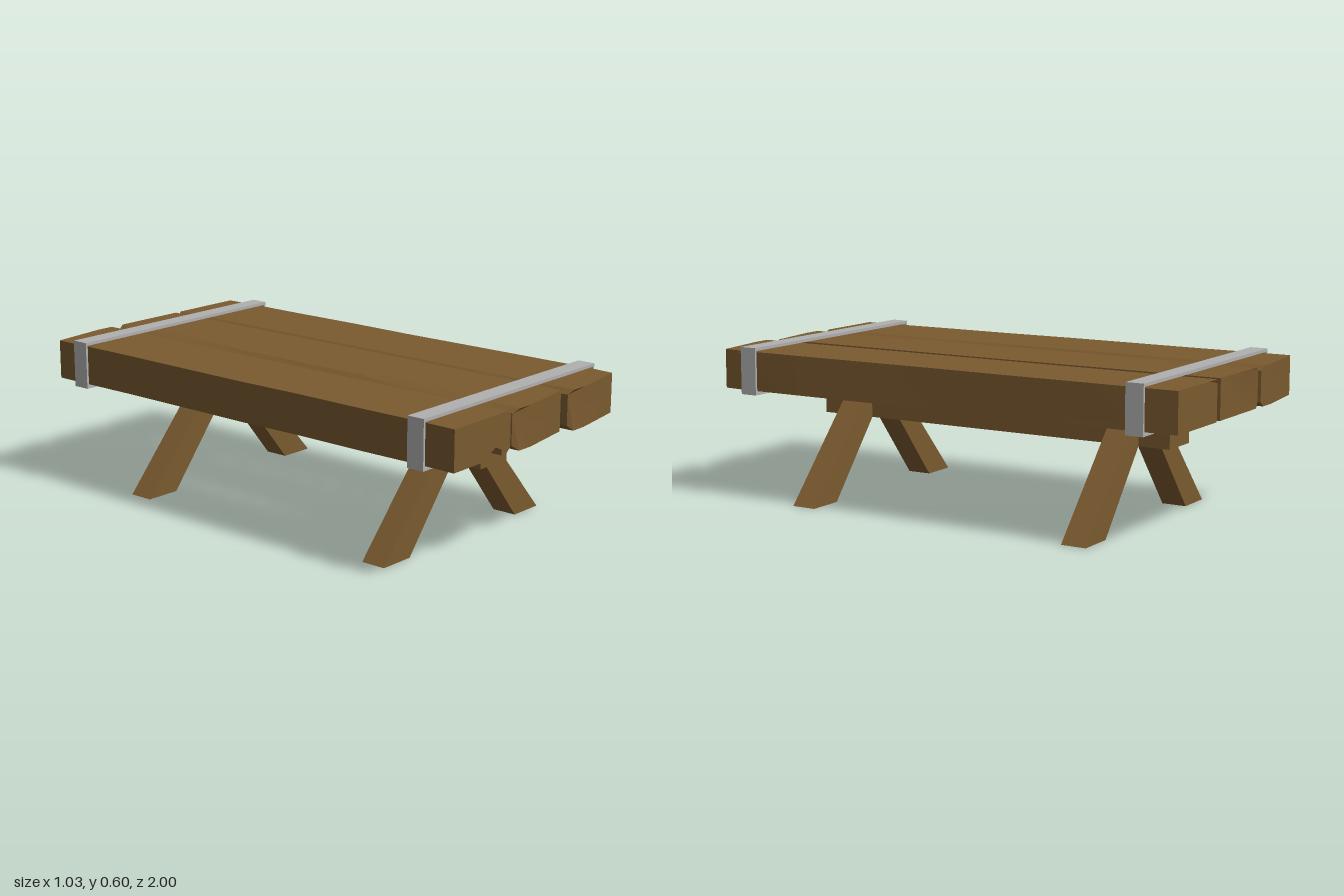
import * as THREE from 'three';
import { toCreasedNormals } from 'three/addons/utils/BufferGeometryUtils.js';

const wood = new THREE.MeshStandardMaterial({ color: 0x7a5a2f });
wood.name = 'wood';
const metal = new THREE.MeshStandardMaterial({ color: 0xb0b0b0 });
metal.name = 'metal';

const LOW = 0.435, HIGH = 0.587;
const STATIONS = [-1, -0.86, -0.6, -0.3, 0, 0.3, 0.6, 0.86, 1];

// Straight-line lookup in a list of [position, value] pairs
function lookup(pairs, x) {
  if (x <= pairs[0][0]) return pairs[0][1];
  for (let i = 1; i < pairs.length; i++) {
    const [x0, v0] = pairs[i - 1], [x1, v1] = pairs[i];
    if (x <= x1) return v0 + (v1 - v0) * (x - x0) / (x1 - x0);
  }
  return pairs[pairs.length - 1][1];
}

// Rough plank: a cross-section swept along z with wavering edges and uneven ends
function plank(name, { profile, left, right, back, front, groove = [] }) {
  const n = profile.length, positions = [], index = [];
  const mid = profile.reduce((s, p) => s + p[0], 0) / n;
  STATIONS.forEach((s, k) => {
    profile.forEach(([px, py], i) => {
      const isGroove = groove.includes(i);
      const x = px + (isGroove ? 0 : px < mid - 0.1 ? left[k] : px > mid + 0.1 ? right[k] : 0);
      const y = isGroove ? LOW + (py - LOW) * Math.max(0, (s - 0.3) / 0.7) : py;
      const z = k === 0 ? lookup(back, px) : k === STATIONS.length - 1 ? lookup(front, px) : s;
      positions.push(x, y, z);
    });
  });
  for (let k = 0; k < STATIONS.length - 1; k++) {
    for (let i = 0; i < n; i++) {
      const a = k * n + i, b = k * n + (i + 1) % n;
      index.push(a, b, b + n, a, b + n, a + n);
    }
  }
  const caps = THREE.ShapeUtils.triangulateShape(profile.map(p => new THREE.Vector2(...p)), []);
  const last = (STATIONS.length - 1) * n;
  for (const [a, b, c] of caps) index.push(a, c, b, last + a, last + b, last + c);
  const geo = new THREE.BufferGeometry();
  geo.setAttribute('position', new THREE.Float32BufferAttribute(positions, 3));
  geo.setIndex(index);
  const mesh = new THREE.Mesh(toCreasedNormals(geo, 0.5), wood);
  mesh.name = name;
  return mesh;
}

// Flat outline given depth along z, centred on z
function slab(name, outline, holes, depth, z, material) {
  const shape = new THREE.Shape(outline.map(p => new THREE.Vector2(...p)));
  for (const h of holes) shape.holes.push(new THREE.Path(h.map(p => new THREE.Vector2(...p))));
  const geo = new THREE.ExtrudeGeometry(shape, { depth, bevelEnabled: false });
  geo.translate(0, 0, z - depth / 2);
  const mesh = new THREE.Mesh(geo, material);
  mesh.name = name;
  return mesh;
}

const rect = (x0, y0, x1, y1) => [[x0, y0], [x1, y0], [x1, y1], [x0, y1]];

export function createModel() {
  const group = new THREE.Group();
  group.name = 'plankTable';

  // Tabletop planks, outlines run anticlockwise
  const outer = [0, 0, 0.003, 0, -0.003, 0.003, 0, 0.003, 0];
  group.add(plank('rightPlank', {
    profile: [[-0.5, LOW], [-0.298, LOW], [-0.298, 0.455], [-0.262, 0.471], [-0.226, 0.455], [-0.226, LOW],
      [-0.198, LOW], [-0.176, 0.453], [-0.176, 0.57], [-0.198, HIGH], [-0.27, HIGH], [-0.5, HIGH]],
    groove: [2, 3, 4],
    left: outer, right: [0, 0.008, 0.002, -0.003, -0.003, 0.004, 0.003, 0.006, 0],
    back: [[-0.5, -0.973], [-0.27, -1], [-0.176, -0.998]],
    front: [[-0.5, 0.992], [-0.176, 0.987]],
  }));
  group.add(plank('middlePlank', {
    profile: [[-0.14, LOW], [-0.07, LOW], [0.165, LOW], [0.165, HIGH], [-0.07, HIGH],
      [-0.14, HIGH], [-0.165, 0.57], [-0.165, 0.455]],
    left: [0, -0.012, -0.01, -0.006, 0, 0.002, -0.008, -0.013, 0],
    right: [0, 0, -0.002, 0, 0.002, 0, -0.003, -0.004, -0.01],
    back: [[-0.165, -0.99], [-0.14, -0.996], [0.165, -0.995]],
    front: [[-0.165, 0.985], [-0.14, 1], [-0.07, 1], [-0.03, 0.99], [0.165, 0.968]],
  }));
  group.add(plank('leftPlank', {
    profile: [[0.194, LOW], [0.26, LOW], [0.5, LOW], [0.5, HIGH], [0.26, HIGH],
      [0.194, HIGH], [0.17, 0.57], [0.17, 0.455]],
    left: [0, -0.004, 0.002, 0, 0.003, 0.002, -0.004, -0.002, 0.004],
    right: [-0.003, 0, -0.002, 0, -0.005, -0.002, 0, 0, -0.008],
    back: [[0.17, -0.985], [0.194, -0.996], [0.5, -0.995]],
    front: [[0.17, 0.985], [0.194, 1], [0.26, 1], [0.5, 0.966]],
  }));

  // Central beam under the planks
  group.add(slab('beam', rect(-0.05, 0.3, 0.108, 0.436), [], 1.544, 0, wood));

  for (const [end, side] of [['front', 1], ['back', -1]]) {
    // Splayed legs
    const z = side * 0.595;
    group.add(slab(end + 'RightLeg',
      [[-0.438, 0], [-0.293, 0], [-0.05, 0.3], [-0.05, 0.436], [-0.062, 0.42]], [], 0.1, z, wood));
    group.add(slab(end + 'LeftLeg',
      [[0.352, 0], [0.497, 0], [0.118, 0.42], [0.108, 0.436], [0.108, 0.3]], [], 0.1, z, wood));
    // Metal band around the planks
    group.add(slab(end + 'Band', rect(-0.514, 0.42, 0.514, 0.604),
      [rect(-0.505, 0.43, 0.505, 0.592)], 0.07, side * 0.838, metal));
  }
  return group;
}
